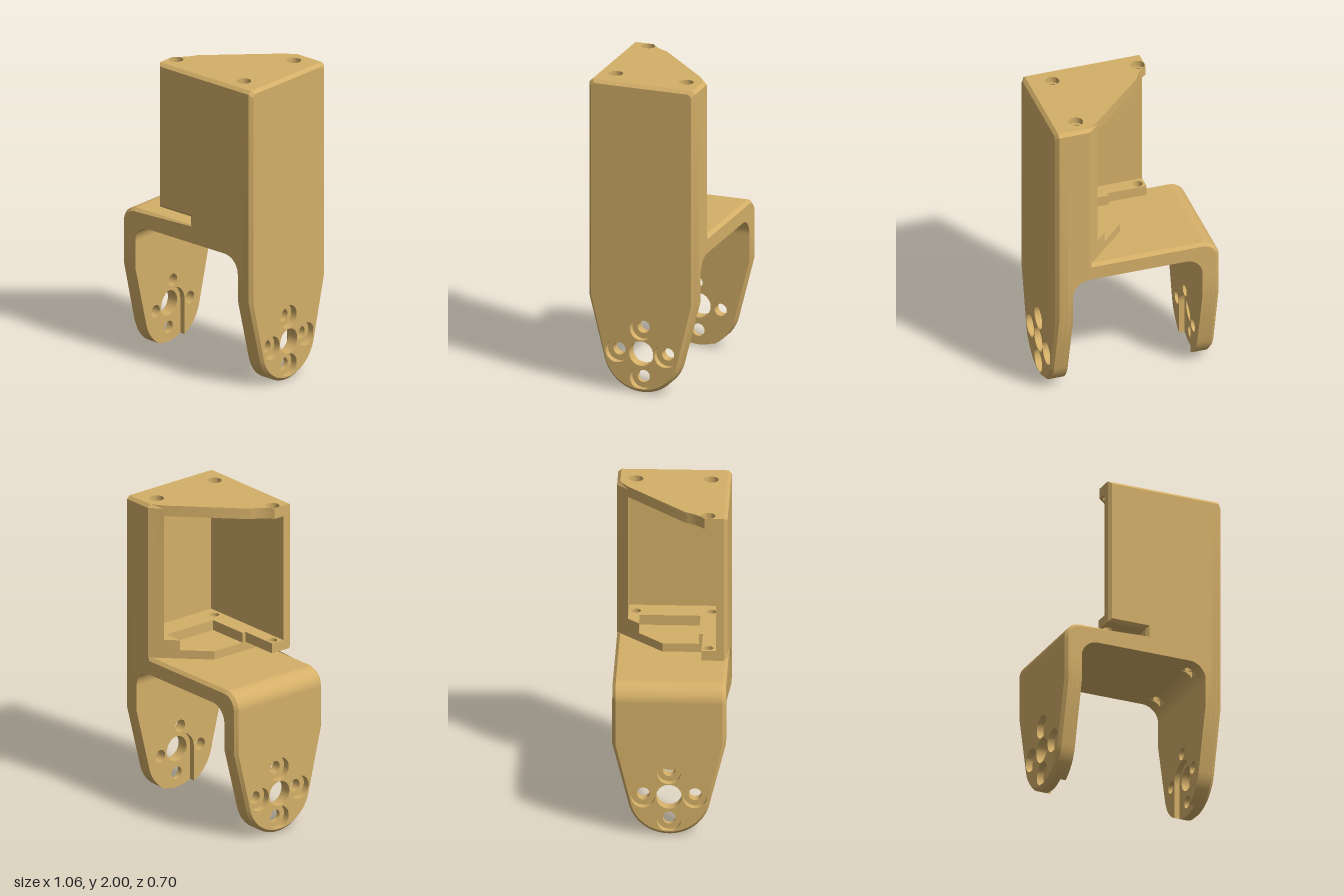
import * as THREE from 'three';
import { toCreasedNormals } from 'three/addons/utils/BufferGeometryUtils.js';

const C = 0.02;          // chamfer size
const AXIS = 0.255;      // height of the pivot axis and radius of the arm tip
const clamp01 = v => Math.min(1, Math.max(0, v));

// Shape from points, with round holes given as [x, y, radius]
function outline(points, holes = []) {
  const s = new THREE.Shape(points.map(p => new THREE.Vector2(p[0], p[1])));
  return drill(s, holes);
}
function drill(shape, holes) {
  for (const [x, y, r] of holes) {
    shape.holes.push(new THREE.Path().absarc(x, y, r, 0, Math.PI * 2, true));
  }
  return shape;
}

// Extrusion whose end layers (0 = start, 3 = end) can be reshaped into chamfers
function solid(shape, depth, warp) {
  const geo = new THREE.ExtrudeGeometry(shape, {
    depth, steps: warp ? 3 : 1, bevelEnabled: false, curveSegments: 20,
  });
  if (warp) {
    const levels = [0, C, depth - C, depth];
    const pos = geo.attributes.position;
    const v = new THREE.Vector3();
    for (let i = 0; i < pos.count; i++) {
      v.fromBufferAttribute(pos, i);
      const layer = Math.round(v.z / depth * 3);
      v.z = levels[layer];
      warp(v, layer);
      pos.setXYZ(i, v.x, v.y, v.z);
    }
  }
  return geo;
}

// Extrude a floor plan of [x, z] points upwards from y0 to y1
function planSolid(points, holes, y0, y1, warp) {
  const shape = outline(points.map(([x, z]) => [x, -z]), holes.map(([x, z, r]) => [x, -z, r]));
  return solid(shape, y1 - y0, warp).rotateX(-Math.PI / 2).translate(0, y0, 0);
}

// Side profile of an arm: straight, tapering to a round tip, optionally with an inner slot
function armShape(top, slot) {
  const s = new THREE.Shape();
  const a = 0.246, w = 0.11, b = Math.asin(w / AXIS);
  const cut = top > 1.9 ? C : 0;
  s.moveTo(0.35 - cut, top);
  s.lineTo(-0.35 + cut, top);
  if (cut) s.lineTo(-0.35, top - cut);
  s.lineTo(-0.35, 0.6);
  if (slot) {
    s.absarc(0, AXIS, AXIS, Math.PI + a, Math.PI * 1.5 - b, false);
    s.absarc(0, AXIS, w, Math.PI, 0, true);
    s.absarc(0, AXIS, AXIS, Math.PI * 1.5 + b, Math.PI * 2 - a, false);
  } else {
    s.absarc(0, AXIS, AXIS, Math.PI + a, Math.PI * 2 - a, false);
  }
  s.lineTo(0.35, 0.6);
  if (cut) s.lineTo(0.35, top - cut);
  return s;
}

function armHoles(r, slot) {
  const d = 0.16;
  const holes = [[d, AXIS, r], [-d, AXIS, r], [0, AXIS + d, r]];
  if (!slot) holes.push([0, AXIS - d, r], [0, AXIS, 0.08]);
  return holes;
}

// Chamfer around the outer face of an arm, leaving the holes alone
function armChamfer(v, layer) {
  if (layer !== 3 || Math.hypot(v.x, v.y - AXIS) < 0.245) return;
  v.x *= 0.33 / 0.35;
  if (v.y < AXIS) v.y = AXIS + (v.y - AXIS) * (1 - C / AXIS);
  if (v.y > 1.9) v.y -= C;
}

export function createModel() {
  const model = new THREE.Group();
  model.name = 'hingeBracket';
  const material = new THREE.MeshStandardMaterial({ color: 0xd4af68 });
  const add = (name, geo, parent = model) => {
    const mesh = new THREE.Mesh(toCreasedNormals(geo, 0.45), material);
    mesh.name = name;
    parent.add(mesh);
  };

  // Two arms in three layers: slotted inside, bolt holes, counterbored outside
  for (const side of [1, -1]) {
    const arm = new THREE.Group();
    arm.name = side > 0 ? 'tallArm' : 'shortArm';
    model.add(arm);
    const top = side > 0 ? 2 : 0.77;
    const place = (geo, x) => geo.rotateY(side * Math.PI / 2).translate(side * x, 0, 0);
    const inner = drill(armShape(side > 0 ? 0.88 : 0.77, true), armHoles(0.04, true));
    add('slottedInnerLayer', place(solid(inner, 0.035), 0.42), arm);
    add('boltHoleLayer', place(solid(drill(armShape(top), armHoles(0.04)), 0.03), 0.455), arm);
    add('counterboreLayer',
      place(solid(drill(armShape(top), armHoles(0.075)), 0.045, armChamfer), 0.485), arm);
  }

  // Bridge with its rounded corner, chamfered along front and back
  const bridge = new THREE.Shape();
  bridge.moveTo(-0.42, 0.77);
  bridge.absarc(-0.31, 0.77, 0.11, Math.PI, Math.PI / 2, true);
  for (const [x, y] of [[0.3, 0.88], [0.3, 0.99], [0.05, 0.99], [0.04, 0.99]]) bridge.lineTo(x, y);
  bridge.absarc(-0.42, 0.88, 0.11, Math.PI / 2, Math.PI, false);
  bridge.lineTo(-0.53, 0.77);
  add('bridge', solid(bridge, 0.7, (v, layer) => {
    if (layer !== 0 && layer !== 3) return;
    const dx = C * clamp01((-0.42 - v.x) / 0.11);
    const dy = layer === 3 && v.x > 0.045 ? 0 : C * clamp01((v.y - 0.88) / 0.11);
    v.x += dx;
    v.y -= dy;
  }).translate(0, 0, -0.35));

  // Drilled end of the bridge below the housing
  const bolts = r => [[0.365, -0.235, r], [0.365, 0.23, r]];
  add('bridgeEnd', planSolid(
    [[0.3, 0.35], [0.455, 0.35], [0.455, -0.35], [0.3, -0.35]], bolts(0.03), 0.88, 0.99));

  // Inner fillet below it, relieved where the bolt holes come through
  const fillet = start => {
    const s = new THREE.Shape();
    s.moveTo(0.42, 0.77);
    s.lineTo(0.42, 0.88);
    s.lineTo(0.31 + 0.11 * Math.cos(start), 0.88);
    s.absarc(0.31, 0.77, 0.11, start, 0, true);
    return s;
  };
  const stops = [-0.35, -0.265, -0.205, 0.2, 0.26, 0.35];
  for (let i = 0; i < 5; i++) {
    const start = i % 2 ? Math.acos(0.085 / 0.11) : Math.PI / 2;
    add('innerFillet', solid(fillet(start), stops[i + 1] - stops[i]).translate(0, 0, stops[i]));
  }

  // Front wall with chamfered outer edges and a notch over the bridge
  const wall = outline([[-0.235, 1.045], [0.02, 1.045], [0.02, 0.99], [0.455, 0.99],
    [0.455, 2], [-0.235, 2]]);
  add('frontWall', solid(wall, 0.07, (v, layer) => {
    if (layer !== 3) return;
    if (v.x < 0.1) v.x += C;
    if (v.y > 1.9) v.y -= C;
    else if (v.y > 1) v.y += C;
  }).translate(0, 0, 0.28));

  // Back wall ending in a diagonal cut
  add('backWall', planSolid(
    [[0.24, -0.28], [0.455, -0.28], [0.455, -0.35], [0.31, -0.35]], [], 0.99, 2,
    (v, layer) => { if (layer === 3 && v.y > 0.34) v.y -= C; }));

  // Housing floor and the raised rim with its ledge
  add('housingFloor', planSolid(
    [[0.02, 0.28], [0.455, 0.28], [0.455, -0.28], [0.24, -0.28], [0.02, -0.06]],
    bolts(0.03), 0.99, 1.045));
  add('floorRim', planSolid(
    [[-0.235, 0.28], [0.455, 0.28], [0.455, -0.28], [0.24, -0.28], [0.17, -0.21], [0.3, -0.21],
      [0.3, 0.165], [0.02, 0.165], [0.02, 0.19], [-0.235, 0.19]],
    [...bolts(0.03), [-0.19, 0.23, 0.03]], 1.045, 1.11));

  // Top plate: diagonal edge with a curved bite, counterbored bolt holes
  const bite = new THREE.QuadraticBezierCurve(new THREE.Vector2(-0.14, 0.09),
    new THREE.Vector2(-0.17, 0.165), new THREE.Vector2(-0.235, 0.21)).getPoints(8);
  const plan = [[-0.235, 0.28], [0.455, 0.28], [0.455, -0.28], [0.24, -0.28],
    ...bite.map(p => [p.x, p.y])];
  const topHoles = r => [...bolts(r), [-0.19, 0.23, r === 0.03 ? r : 0.044]];
  add('topPlateLower', planSolid(plan, topHoles(0.03), 1.93, 1.96));
  add('topPlateUpper', planSolid(plan, topHoles(0.045), 1.96, 2));

  return model;
}
